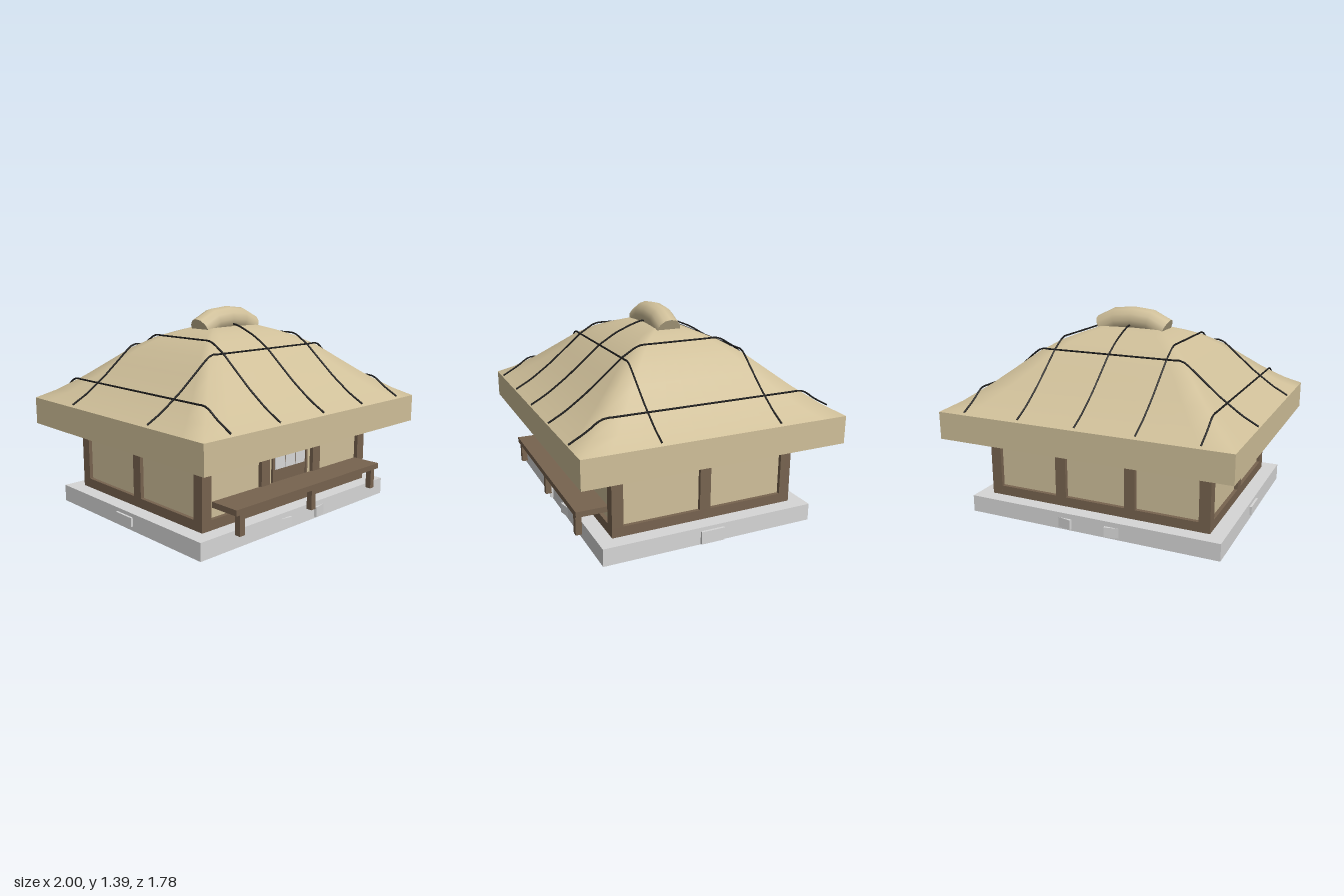
import * as THREE from 'three';

const mat = (name, color, side = THREE.FrontSide) => {
  const m = new THREE.MeshStandardMaterial({ color, side });
  m.name = name;
  return m;
};

// Half extents of the eaves, thatch thickness, and slope as [distance in from the eaves, height]
const EX = 1, EZ = 0.887, THICK = 0.185;
const PROFILE = [[0, 0.755], [0.11, 0.815], [0.25, 0.915], [0.37, 1.015], [0.485, 1.112],
  [0.6, 1.183], [0.7, 1.225], [0.785, 1.254], [EZ, 1.258]];

function roofHeight(x, z) {
  const d = Math.max(0, Math.min(EX - Math.abs(x), EZ - Math.abs(z)));
  for (let i = 1; i < PROFILE.length; i++) {
    const [d0, y0] = PROFILE[i - 1], [d1, y1] = PROFILE[i];
    if (d <= d1) return y0 + (y1 - y0) * (d - d0) / (d1 - d0);
  }
  return PROFILE[PROFILE.length - 1][1];
}

// Hipped surface made from concentric rectangular rings
function hippedSurface(drop, faceDown) {
  const corners = [[1, 1], [1, -1], [-1, -1], [-1, 1]], n = 10, count = 4 * n;
  const pos = [], index = [];
  for (const [d, y] of PROFILE) {
    for (let k = 0; k < count; k++) {
      const a = corners[Math.floor(k / n)], b = corners[(Math.floor(k / n) + 1) % 4], t = (k % n) / n;
      pos.push((EX - d) * (a[0] + (b[0] - a[0]) * t), y - drop, (EZ - d) * (a[1] + (b[1] - a[1]) * t));
    }
  }
  for (let r = 0; r < PROFILE.length - 1; r++) {
    for (let k = 0; k < count; k++) {
      const a = r * count + k, b = r * count + (k + 1) % count, c = a + count, d = b + count;
      if (faceDown) index.push(a, d, b, a, c, d);
      else index.push(a, b, d, a, d, c);
    }
  }
  const g = new THREE.BufferGeometry();
  g.setAttribute('position', new THREE.Float32BufferAttribute(pos, 3));
  g.setIndex(index);
  g.computeVertexNormals();
  return g;
}

export function createModel() {
  const thatch = mat('thatch', 0xcfbf99);
  const plaster = mat('plaster', 0xcfbf9a);
  const wood = mat('wood', 0x77634f);
  const stone = mat('stone', 0xd6d6d6);
  const pane = mat('pane', 0xd8d8d8);
  const rope = mat('rope', 0x1c1c1c);

  const model = new THREE.Group();
  model.name = 'thatchedCottage';
  const group = (name) => {
    const g = new THREE.Group();
    g.name = name;
    model.add(g);
    return g;
  };
  const add = (parent, name, geometry, material) => {
    const m = new THREE.Mesh(geometry, material);
    m.name = name;
    parent.add(m);
    return m;
  };
  // Box given by its limits on each axis
  const box = (parent, name, material, x0, x1, y0, y1, z0, z1) => {
    const m = add(parent, name, new THREE.BoxGeometry(x1 - x0, y1 - y0, z1 - z0), material);
    m.position.set((x0 + x1) / 2, (y0 + y1) / 2, (z0 + z1) / 2);
    return m;
  };

  // Stone base with a few slightly turned blocks standing proud of it
  const base = group('base');
  box(base, 'slab', stone, -0.89, 0.89, 0.01, 0.125, -0.73, 0.73);
  for (const s of [-1, 1]) {
    for (const f of [-1, 1]) {
      const b = box(base, 'turnedBlock', stone, s * 0.2 - 0.085, s * 0.2 + 0.085, 0.022, 0.09, f * 0.703 - 0.03, f * 0.703 + 0.03);
      b.rotation.y = s * f * 0.2;
    }
    const low = s > 0 ? 0.015 : 0.04;
    box(base, 'sideBlock', stone, s * 0.875 - 0.03, s * 0.875 + 0.03, low, low + 0.085 - (s < 0 ? 0.025 : 0), -0.082, 0.082);
  }
  box(base, 'foot', stone, -0.86, -0.75, 0, 0.02, 0.24, 0.42);
  box(base, 'foot', stone, -0.29, -0.12, 0, 0.02, -0.38, -0.26);

  // Plastered walls
  const house = group('house');
  box(house, 'walls', plaster, -0.765, 0.765, 0.12, 0.75, -0.605, 0.605);

  // Timber frame
  const frame = group('timberFrame');
  const P = 0.0375;
  for (const f of [-1, 1]) {
    for (const x of [-0.7525, -0.25, 0.25, 0.7525]) {
      box(frame, 'post', wood, x - P, x + P, 0.12, 0.74, f * 0.595 - P, f * 0.595 + P);
    }
    box(frame, 'middlePost', wood, f * 0.7525 - P, f * 0.7525 + P, 0.12, 0.74, -P, P);
    for (const [y0, y1, name] of [[0.12, 0.19, 'sill'], [0.47, 0.507, 'rail'], [0.67, 0.73, 'topBeam']]) {
      const out = name === 'sill' ? 0.005 : -0.005;
      box(frame, name, wood, f * 0.755 - 0.03 - out, f * 0.755 + 0.03 + out, y0, y1, -0.628, 0.628);
      if (f > 0 && name === 'rail') {
        for (const s of [-1, 1]) box(frame, name, wood, s * 0.5 - 0.25, s * 0.5 + 0.25, y0, y1, 0.57, 0.622);
      } else {
        box(frame, name, wood, -0.785, 0.785, y0, y1, f * 0.597 - 0.03 - out, f * 0.597 + 0.03 + out);
      }
    }
  }
  box(frame, 'highWindowFrame', wood, 0.385, 0.61, 0.545, 0.64, 0.59, 0.632);

  // Front door with a grid of panes
  const door = group('door');
  box(door, 'doorPanel', wood, -0.155, 0.155, 0.19, 0.68, 0.59, 0.613);
  for (const s of [-1, 1]) box(door, 'doorJamb', wood, s * 0.162 - 0.009, s * 0.162 + 0.009, 0.19, 0.68, 0.59, 0.62);
  for (let i = -1; i <= 1; i++) {
    for (let j = 0; j < 3; j++) {
      box(door, 'pane', pane, i * 0.1 - 0.046, i * 0.1 + 0.046, 0.376 + j * 0.1, 0.466 + j * 0.1, 0.611, 0.617);
    }
  }

  // Veranda bench
  const bench = group('bench');
  box(bench, 'seat', wood, -0.7, 0.7, 0.26, 0.297, 0.62, 0.827);
  for (const x of [-0.645, 0, 0.645]) box(bench, 'leg', wood, x - 0.02, x + 0.02, 0.125, 0.262, 0.78, 0.82);

  // Thatched roof: top, underside and vertical eaves
  const roof = group('roof');
  add(roof, 'thatchTop', hippedSurface(0, false), thatch);
  add(roof, 'thatchUnderside', hippedSurface(THICK, true), thatch);
  for (let i = 0; i < 4; i++) {
    const alongX = i % 2 === 0;
    const e = add(roof, 'eave', new THREE.PlaneGeometry(2 * (alongX ? EX : EZ), THICK), thatch);
    e.rotation.y = i * Math.PI / 2;
    const r = alongX ? EZ : EX;
    e.position.set(Math.sin(e.rotation.y) * r, 0.755 - THICK / 2, Math.cos(e.rotation.y) * r);
  }

  // Bent ridge bundle with closed ends
  const ridge = group('ridgeBundle');
  const R = 0.085;
  const ridgePoints = [[-0.235, 1.238], [-0.12, 1.295], [0.12, 1.295], [0.235, 1.238]];
  const ridgeCurve = new THREE.CatmullRomCurve3(ridgePoints.map(([x, y]) => new THREE.Vector3(x, y, 0)));
  add(ridge, 'bundle', new THREE.TubeGeometry(ridgeCurve, 4, R, 12), thatch);
  for (const t of [0, 1]) {
    const cap = add(ridge, 'bundleEnd', new THREE.CircleGeometry(R, 12), thatch);
    cap.position.copy(ridgeCurve.getPointAt(t));
    const out = ridgeCurve.getTangentAt(t).multiplyScalar(t ? 1 : -1);
    cap.quaternion.setFromUnitVectors(new THREE.Vector3(0, 0, 1), out);
  }

  // Ropes draped over the thatch
  const ropes = group('ropes');
  const drape = (pointAt) => {
    const pts = [];
    for (let i = 0; i <= 40; i++) {
      const [x, z] = pointAt(i / 20 - 1);
      pts.push(new THREE.Vector3(x, roofHeight(x, z) + 0.017, z));
    }
    add(ropes, 'rope', new THREE.TubeGeometry(new THREE.CatmullRomCurve3(pts), 60, 0.006, 6), rope);
  };
  for (const x of [-0.8, -0.4, 0, 0.4, 0.8]) drape((t) => [x, t * EZ]);
  for (const z of [-0.4, 0.4]) drape((t) => [t * EX, z]);

  return model;
}
